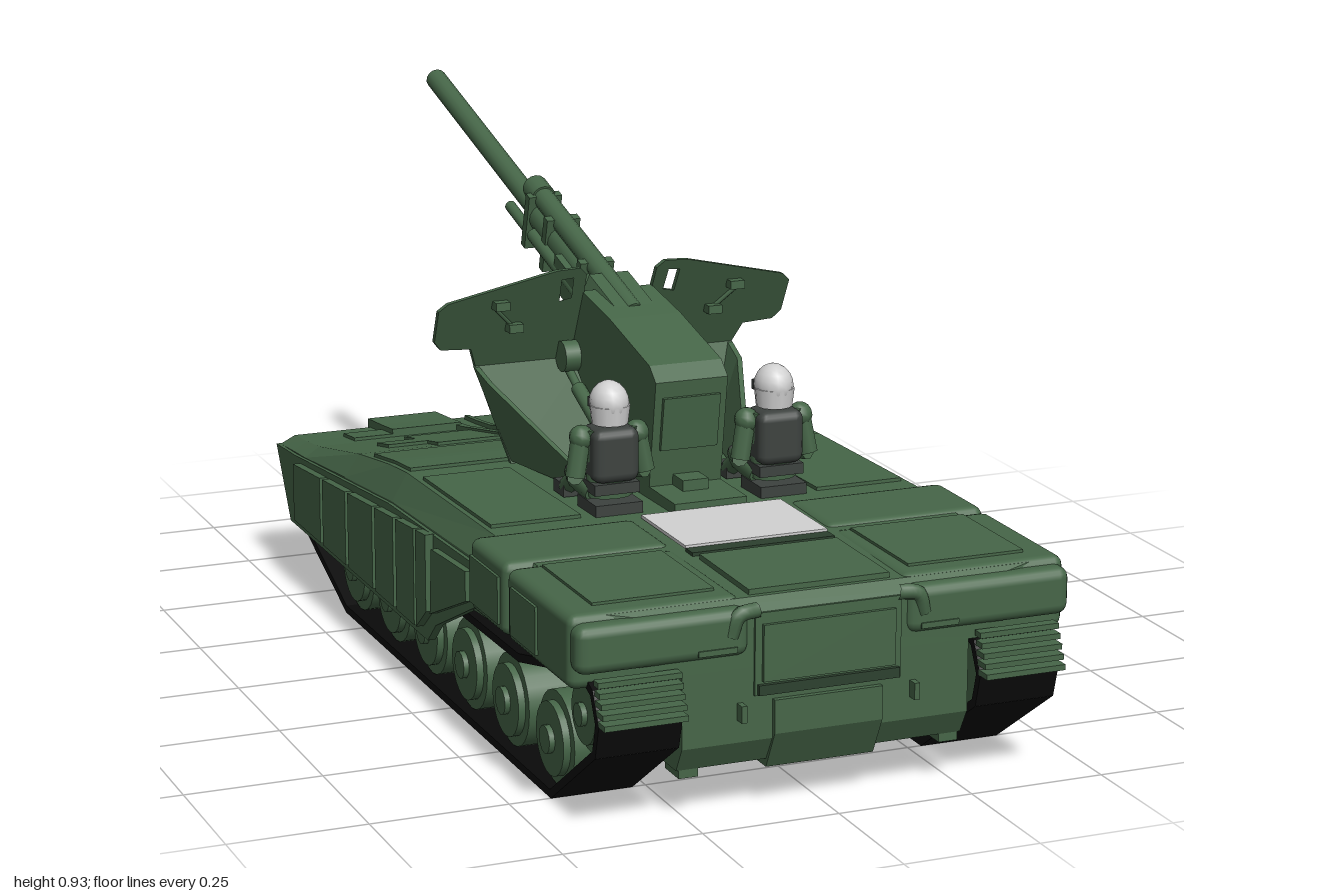
import * as THREE from 'three';
import { RoundedBoxGeometry } from 'three/addons/geometries/RoundedBoxGeometry.js';

const mat = (name, color) => Object.assign(new THREE.MeshStandardMaterial({ color }), { name });

export function createModel() {
  const green = mat('armour green', 0x466648);
  const darkGreen = mat('dark green', 0x2c402e);
  const black = mat('track black', 0x0a0a0a);
  const white = mat('helmet white', 0xd2d2d2);
  const grey = mat('vest grey', 0x3d423f);
  for (const m of [green, darkGreen, black, white, grey]) m.flatShading = false;

  const root = new THREE.Group();
  const add = (name, geo, material = green, parent = root) => {
    const m = new THREE.Mesh(geo, material);
    m.name = name;
    parent.add(m);
    return m;
  };
  // Box given by its limits
  const box = (name, x0, x1, y0, y1, z0, z1, material, parent) =>
    add(name, new THREE.BoxGeometry(x1 - x0, y1 - y0, z1 - z0)
      .translate((x0 + x1) / 2, (y0 + y1) / 2, (z0 + z1) / 2), material, parent);
  // Cylinder between two points
  const rod = (name, a, b, r, material, parent, sides = 12, r2 = r) => {
    const p = new THREE.Vector3(...a), q = new THREE.Vector3(...b), d = q.clone().sub(p);
    const m = add(name, new THREE.CylinderGeometry(r2, r, d.length(), sides), material, parent);
    m.position.copy(p).lerp(q, 0.5);
    m.quaternion.setFromUnitVectors(new THREE.Vector3(0, 1, 0), d.normalize());
    return m;
  };
  const shapeOf = pts => new THREE.Shape(pts.map(p => new THREE.Vector2(...p)));
  // Side profile of [z, y] points extruded from x0 to x1
  const profile = (pts, x0, x1) =>
    new THREE.ExtrudeGeometry(shapeOf(pts), { depth: x1 - x0, bevelEnabled: false })
      .rotateY(-Math.PI / 2).translate(x1, 0, 0);
  const bend = (geo, rule) => {
    const p = geo.attributes.position;
    for (let i = 0; i < p.count; i++) p.setXYZ(i, ...rule(p.getX(i), p.getY(i), p.getZ(i)));
    geo.computeVertexNormals();
    return geo;
  };

  // Hull: T-shaped sections [z, belly, sponson, shoulder, top, half width]
  const sections = [
    [0.945, 0.13, 0.26, 0.33, 0.355, 0.3], [0.92, 0.085, 0.25, 0.35, 0.375, 0.42],
    [0.44, 0.085, 0.24, 0.335, 0.38, 0.44], [-0.02, 0.085, 0.2, 0.318, 0.37, 0.44],
    [-0.12, 0.085, 0.2, 0.308, 0.36, 0.44], [-0.3, 0.085, 0.2, 0.29, 0.333, 0.44],
    [-0.55, 0.085, 0.2, 0.263, 0.283, 0.44], [-0.63, 0.115, 0.2, 0.257, 0.273, 0.44],
    [-0.71, 0.235, 0.238, 0.25, 0.265, 0.44]];
  const rings = sections.map(([z, b, s, sh, t, w]) => {
    const half = [[0.265, b], [0.265, s], [w, s], [w, sh], [w - 0.03, t]];
    return [...half.map(([x, y]) => [x, y, z]), ...half.reverse().map(([x, y]) => [-x, y, z])];
  });
  const tri = [], quad = (a, b, c, d) => tri.push(...a, ...b, ...c, ...a, ...c, ...d);
  for (let i = 0; i < rings.length - 1; i++) {
    for (let j = 0; j < 10; j++) {
      const k = (j + 1) % 10;
      quad(rings[i][j], rings[i + 1][j], rings[i + 1][k], rings[i][k]);
    }
  }
  const first = rings[0], last = rings[rings.length - 1];
  for (let j = 0; j < 4; j++) {
    quad(first[j], first[j + 1], first[8 - j], first[9 - j]);
    quad(last[9 - j], last[8 - j], last[j + 1], last[j]);
  }
  const hull = new THREE.BufferGeometry();
  hull.setAttribute('position', new THREE.Float32BufferAttribute(tri, 3));
  hull.computeVertexNormals();
  add('hull', hull);

  // Thin plates that follow the slope of the deck
  const deckY = z => {
    let i = 1;
    while (i < sections.length - 2 && z < sections[i + 1][0]) i++;
    const [a, b] = [sections[i], sections[i + 1]];
    return a[4] + (b[4] - a[4]) * (z - a[0]) / (b[0] - a[0]);
  };
  const plate = (name, x0, x1, z0, z1, h = 0.008, material = green) =>
    add(name, bend(new THREE.BoxGeometry(x1 - x0, h, z1 - z0, 1, 1, 8).toNonIndexed()
      .translate((x0 + x1) / 2, 0, (z0 + z1) / 2), (x, y, z) => [x, y + deckY(z) + h * 0.3, z]), material);

  const wheelZ = [0.73, 0.515, 0.305, 0.095, -0.11, -0.32];
  const trackPath = [[0.88, 0.272], [0.94, 0.25], [0.965, 0.2], [0.95, 0.145], [0.75, 0.008],
    [-0.35, 0.008], [-0.63, 0.115], [-0.655, 0.15], [-0.62, 0.195], [-0.4, 0.195], [0.6, 0.205]];
  const skirtPts = [[0.44, 0.33], [-0.02, 0.315], [-0.6, 0.257], [-0.715, 0.25], [-0.63, 0.113],
    [0.19, 0.113], [0.235, 0.155], [0.44, 0.25]];

  for (const s of [-1, 1]) {
    const xs = (a, b) => s > 0 ? [a, b] : [-b, -a];
    const sbox = (name, a, b, ...rest) => box(name, ...xs(a, b), ...rest);

    // Track band, one slab for each stretch
    trackPath.forEach(([z0, y0], i) => {
      const [z1, y1] = trackPath[(i + 1) % trackPath.length];
      const m = add('track', new THREE.BoxGeometry(0.15, 0.015, Math.hypot(z1 - z0, y1 - y0) + 0.006), black);
      m.position.set(s * 0.35, (y0 + y1) / 2, (z0 + z1) / 2);
      m.rotation.x = -Math.atan2(y1 - y0, z1 - z0);
    });
    // Wheels with rim and hub
    const wheel = (name, z, y, r) => {
      rod(name, [s * 0.285, y, z], [s * 0.405, y, z], r, green, root, 24);
      rod('wheelRim', [s * 0.4, y, z], [s * 0.418, y, z], r * 0.78, green, root, 24);
      rod('wheelHub', [s * 0.41, y, z], [s * 0.428, y, z], r * 0.3, green, root, 12);
    };
    wheelZ.forEach(z => wheel('roadWheel', z, 0.1, 0.084));
    wheel('driveSprocket', 0.885, 0.195, 0.068);
    wheel('idlerWheel', -0.585, 0.155, 0.042);

    // Side skirt and its panels
    add('skirt', profile(skirtPts, ...xs(0.432, 0.447)));
    add('skirtPanel', profile([[0.43, 0.315], [0.25, 0.305], [0.24, 0.18], [0.43, 0.26]], ...xs(0.445, 0.46)));
    [[0.225, 0.17], [0.16, 0.06], [0.045, -0.06], [-0.075, -0.22], [-0.235, -0.375], [-0.39, -0.56]]
      .forEach(([a, b], i) => {
        const top = z => 0.303 + z * 0.095;
        add('skirtPanel', profile([[a, top(a)], [b, top(b)], [b, 0.135], [a, i ? 0.135 : 0.18]], ...xs(0.445, 0.462)));
      });

    // Rear fenders
    for (const [z0, z1, top] of [[0.445, 0.622, 0.384], [0.628, 0.925, 0.38]]) {
      add('fender', new RoundedBoxGeometry(0.31, top - 0.25, z1 - z0, 2, 0.018)
        .translate(s * 0.303, (top + 0.25) / 2, (z0 + z1) / 2));
    }
    add('fenderEnd', new RoundedBoxGeometry(0.31, 0.085, 0.05, 2, 0.02).translate(s * 0.3, 0.325, 0.93));
    sbox('fenderTopPanel', 0.18, 0.4, 0.378, 0.385, 0.65, 0.88);
    sbox('fenderSidePanel', 0.452, 0.463, 0.27, 0.355, 0.66, 0.78);
    sbox('fenderSidePanel', 0.452, 0.463, 0.27, 0.355, 0.46, 0.6);
    sbox('rearBracket', 0.17, 0.24, 0.293, 0.303, 0.94, 0.958);
    sbox('towLug', 0.155, 0.165, 0.17, 0.2, 0.93, 0.965);
    sbox('rearStep', 0.225, 0.26, 0.07, 0.1, 0.86, 0.92);
    // Slatted mud guard
    for (let i = 0; i < 5; i++) {
      sbox('mudGuardSlat', 0.275, 0.425, 0.2 + i * 0.0165, 0.21 + i * 0.0165, 0.965 - i * 0.004, 0.998 - i * 0.007);
    }
    // Exhaust elbow beside the engine panel
    add('exhaustElbow', new THREE.TubeGeometry(new THREE.CatmullRomCurve3([
      new THREE.Vector3(s * 0.13, 0.36, 0.945), new THREE.Vector3(s * 0.165, 0.355, 0.95),
      new THREE.Vector3(s * 0.178, 0.32, 0.945)]), 10, 0.014, 8));

    // Deck plates
    plate('noseFairing', ...xs(0.105, 0.25), -0.725, -0.57, 0.02);
    plate('deckRib', ...xs(0.1, 0.115), -0.69, -0.08, 0.014);
    plate('deckRib', ...xs(0.045, 0.055), -0.69, -0.08, 0.01);
    plate('deckPlate', ...xs(0.115, 0.25), -0.5, -0.3);
    plate('deckPlate', ...xs(0.25, 0.33), -0.43, -0.36);
    plate('deckPlate', ...xs(0.25, 0.33), -0.64, -0.57);
    plate('deckPlate', ...xs(0.115, 0.4), -0.24, -0.03);
    plate('deckPlate', ...xs(0.23, 0.4), 0.04, 0.4);
    sbox('towHook', 0.17, 0.2, 0.12, 0.15, -0.665, -0.62);

    // Gun shield, leaning back above the fold
    const lean = (x, y, z) => [x, y, z - 0.07 + (y > 0.55 ? (y - 0.55) * 0.48 : (0.55 - y) * 0.3)];
    const upper = shapeOf([[0.062, 0.55], [0.26, 0.55], [0.275, 0.588], [0.335, 0.592], [0.35, 0.61], [0.352, 0.675],
      [0.335, 0.69], [0.13, 0.74], [0.085, 0.742], [0.07, 0.728]].map(([x, y]) => [s * x, y]));
    upper.holes.push(new THREE.Path([[0.092, 0.68], [0.115, 0.675], [0.118, 0.72], [0.095, 0.722]]
      .map(([x, y]) => new THREE.Vector2(s * x, y))));
    const lower = shapeOf([[0.04, 0.37], [0.21, 0.37], [0.26, 0.55], [0.04, 0.55]].map(([x, y]) => [s * x, y]));
    for (const [name, shape] of [['upperShield', upper], ['lowerShield', lower]]) {
      add(name, bend(new THREE.ExtrudeGeometry(shape, { depth: 0.012, bevelEnabled: false }), lean));
    }
    add('shieldWing', bend(profile([[0.31, 0.375], [-0.01, 0.375], [-0.065, 0.55], [0.0, 0.53]], ...xs(0, 0.01)),
      (x, y, z) => [x + s * (0.2 + (y - 0.375) * 0.3 - Math.max(0, z) * 0.22), y, z]));
    rod('shieldStrut', [s * 0.19, 0.62, -0.02], [s * 0.245, 0.675, 0.005], 0.004, green, root, 6);
    for (const [x, y] of [[0.235, 0.68], [0.2, 0.63]]) {
      sbox('shieldBracket', x - 0.014, x + 0.014, y - 0.008, y + 0.008, -0.06 + (y - 0.55) * 0.48, -0.035 + (y - 0.55) * 0.48);
    }
    // Elevation piston beside the cradle
    rod('elevationPiston', [s * 0.085, 0.415, 0.25], [s * 0.085, 0.51, 0.02], 0.014);
    rod('pistonRod', [s * 0.085, 0.51, 0.02], [s * 0.085, 0.55, -0.06], 0.008);

    // Seated gunner
    const man = new THREE.Group();
    man.name = 'gunner';
    man.position.set(s * 0.16, 0, 0.36);
    root.add(man);
    rod('torso', [0, 0.405, 0.005], [0, 0.53, 0.005], 0.042, green, man, 10, 0.05).scale.z = 0.7;
    add('vest', new RoundedBoxGeometry(0.088, 0.1, 0.078, 2, 0.018).translate(0, 0.485, 0.007), grey, man);
    box('belt', -0.043, 0.043, 0.415, 0.435, -0.032, 0.04, grey, man);
    rod('neck', [0, 0.52, 0], [0, 0.56, 0], 0.018, grey, man, 8);
    add('helmet', new THREE.SphereGeometry(0.037, 14, 10).scale(0.95, 1.05, 1.1).translate(0, 0.576, 0), white, man);
    rod('helmetNeckGuard', [0, 0.538, 0.003], [0, 0.572, 0.003], 0.033, white, man, 12, 0.037);
    box('visor', -0.024, 0.024, 0.56, 0.578, -0.043, -0.034, grey, man);
    box('seat', -0.045, 0.045, 0.375, 0.4, -0.04, 0.05, grey, man);
    for (const e of [-1, 1]) {
      add('shoulder', new THREE.SphereGeometry(0.023, 10, 8).translate(e * 0.053, 0.515, 0), green, man);
      rod('upperArm', [e * 0.054, 0.515, 0], [e * 0.067, 0.445, 0.005], 0.019, green, man, 8);
      rod('forearm', [e * 0.067, 0.445, 0.005], [e * 0.04, 0.43, -0.075], 0.015, green, man, 8);
      add('glove', new THREE.SphereGeometry(0.016, 8, 6).translate(e * 0.038, 0.43, -0.082), grey, man);
      rod('thigh', [e * 0.025, 0.41, 0], [e * 0.035, 0.425, -0.07], 0.022, green, man, 8);
      rod('shin', [e * 0.035, 0.425, -0.07], [e * 0.035, 0.392, -0.115], 0.017, green, man, 8);
      box('boot', e * 0.035 - 0.015, e * 0.035 + 0.015, 0.378, 0.402, -0.145, -0.095, grey, man);
    }
  }

  // Rear engine plate, hatch and lower block
  box('enginePanelFrame', -0.135, 0.135, 0.21, 0.355, 0.93, 0.95);
  box('enginePanel', -0.122, 0.122, 0.235, 0.335, 0.94, 0.957);
  box('enginePanelSill', -0.13, 0.13, 0.212, 0.23, 0.945, 0.958, darkGreen);
  add('rearBlock', profile([[0.955, 0.2], [0.955, 0.14], [0.92, 0.07], [0.8, 0.07], [0.8, 0.2]], -0.1, 0.1));
  plate('engineDeck', -0.13, 0.13, 0.7, 0.91, 0.012);
  box('deckVent', -0.135, 0.135, 0.37, 0.384, 0.652, 0.682, darkGreen);
  box('lightDeckPanel', -0.135, 0.135, 0.382, 0.388, 0.45, 0.65, white);
  box('bellyHatch', -0.13, 0.13, 0.08, 0.086, 0.55, 0.8);

  // Gun mount, breech and its rear door
  box('gunPlatform', -0.07, 0.07, 0.37, 0.4, -0.02, 0.45);
  add('breechHousing', profile([[0.36, 0.6], [0.33, 0.625], [0.14, 0.668], [0, 0.69], [-0.06, 0.56],
    [0.02, 0.5], [0.27, 0.4], [0.33, 0.4]], -0.07, 0.07));
  add('breechCover', bend(profile([[0.28, 0.63], [0.13, 0.665], [-0.04, 0.71], [-0.04, 0.64], [0.28, 0.6]], -0.065, 0.065),
    (x, y, z) => [x * (y > 0.645 - z * 0.2 ? 0.6 : 1), y, z]));
  add('breechDoor', profile([[0.364, 0.57], [0.348, 0.47], [0.338, 0.47], [0.354, 0.57]], -0.055, 0.055));
  box('breechStep', -0.025, 0.025, 0.4, 0.42, 0.33, 0.38);
  rod('trunnion', [-0.1, 0.56, -0.03], [0.1, 0.56, -0.03], 0.03);

  // Barrel assembly, built along -z and raised
  const gun = new THREE.Group();
  gun.name = 'gun';
  gun.position.set(0, 0.645, 0);
  gun.rotation.x = 0.264;
  root.add(gun);
  const tube = (name, y, z0, z1, r, x = 0, m = green) => rod(name, [x, y, z0], [x, y, z1], r, m, gun, 14);
  tube('barrel', 0, 0.1, -1.03, 0.021);
  tube('muzzleBore', 0, -1.02, -1.031, 0.013, 0, black);
  tube('barrelSleeve', 0, 0.1, -0.42, 0.03);
  tube('recoilCylinder', 0.037, 0.08, -0.445, 0.021);
  tube('recoilCap', 0.037, -0.4, -0.45, 0.025);
  tube('recuperatorRod', -0.062, 0.05, -0.565, 0.011);
  for (const x of [-0.03, 0.03]) tube('bufferCylinder', -0.02, 0.05, -0.36, 0.014, x);
  box('cradle', -0.042, 0.042, -0.055, 0.01, -0.22, 0.08, green, gun);
  for (const z of [-0.12, -0.3, -0.4]) box('cradleClamp', -0.034, 0.034, -0.065, 0.045, z - 0.01, z + 0.01, green, gun);
  return root;
}
